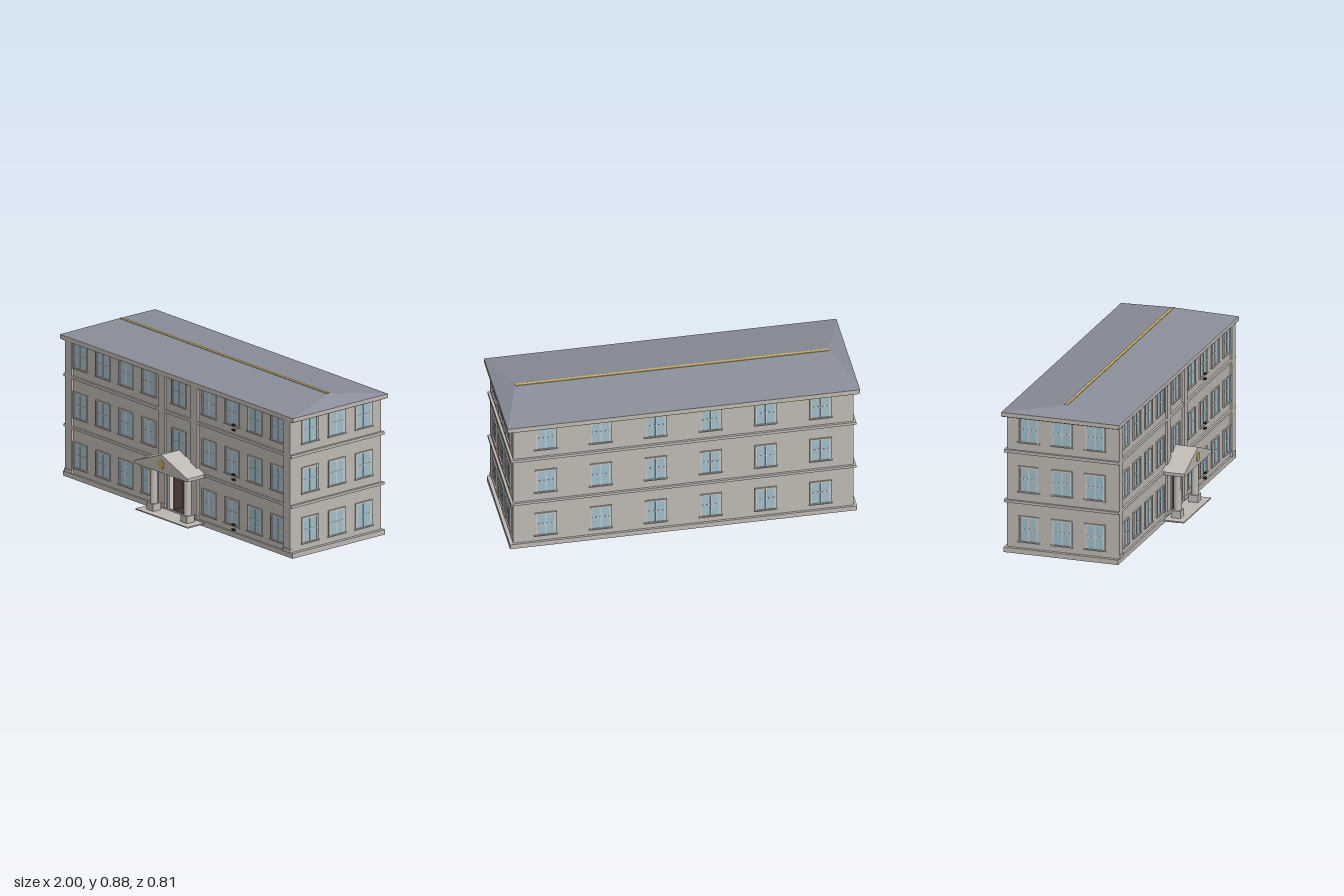
import * as THREE from 'three';

const mat = (name, color) => {
  const m = new THREE.MeshStandardMaterial({ color });
  m.name = name;
  return m;
};

export function createModel() {
  const stone = mat('stone', 0xbfbab3);
  const frameMat = mat('windowFrame', 0xd2d3d1);
  const glass = mat('glass', 0xa0c0cd);
  const slate = mat('slate', 0x8a8e9a);
  const gold = mat('gold', 0xc9ae5c);
  const floorMat = mat('darkFloor', 0x45392f);
  const iron = mat('darkMetal', 0x2b2826);

  const model = new THREE.Group();
  model.name = 'building';
  const add = (name, geo, material, parent = model) => {
    const mesh = new THREE.Mesh(geo, material);
    mesh.name = name;
    parent.add(mesh);
    return mesh;
  };
  // Box given by its minimum and maximum on each axis
  const box = (name, m, x0, x1, y0, y1, z0, z1, parent = model) => {
    const b = add(name, new THREE.BoxGeometry(x1 - x0, y1 - y0, z1 - z0), m, parent);
    b.position.set((x0 + x1) / 2, (y0 + y1) / 2, (z0 + z1) / 2);
    return b;
  };

  // Ground slab and hollow walls, the front one with a door opening
  const FRONT = 0.27, BACK = -0.384, SIDE = 0.965;
  box('foundation', floorMat, -0.95, 0.95, 0, 0.028, -0.365, 0.25);
  const wall = new THREE.Shape([
    [-SIDE, 0.01], [-0.075, 0.01], [-0.075, 0.24], [0.075, 0.24],
    [0.075, 0.01], [SIDE, 0.01], [SIDE, 0.815], [-SIDE, 0.815],
  ].map(([x, y]) => new THREE.Vector2(x, y)));
  add('frontWall', new THREE.ExtrudeGeometry(wall, { depth: 0.02, bevelEnabled: false }), stone)
    .position.z = FRONT - 0.02;
  box('backWall', stone, -SIDE, SIDE, 0.01, 0.815, BACK, BACK + 0.02);
  for (const s of [-1, 1]) {
    const w = box('sideWall', stone, -0.01, 0.01, 0.01, 0.815, BACK + 0.02, FRONT - 0.02);
    w.position.x = s * (SIDE - 0.01);
  }
  box('hallCeiling', stone, -0.95, 0.95, 0.3, 0.31, BACK + 0.02, 0.25);

  // Plinth and string courses around the walls
  const course = (name, y0, y1, out, front) => {
    box(name, stone, -out, out, y0, y1, -0.397, BACK);
    for (const s of [-1, 1]) {
      const b = box(name, stone, 0, out - SIDE, y0, y1, BACK, front);
      b.position.x = s * (out + SIDE) / 2;
    }
    box(name, stone, -out, out, y0, y1, FRONT, front);
  };
  course('plinth', 0.008, 0.037, 0.985, 0.28);
  course('stringCourse', 0.3, 0.315, 0.98, 0.282);
  course('stringCourse', 0.593, 0.61, 0.98, 0.282);

  // Corner and centre pilasters with small bases
  for (const x of [-0.938, -0.14, 0.14, 0.938]) {
    box('pilaster', stone, x - 0.028, x + 0.028, 0.037, 0.81, FRONT, 0.283);
    box('pilasterBase', stone, x - 0.031, x + 0.031, 0.037, 0.058, FRONT, 0.286);
  }

  // Window, facing +z with its sill line at y = 0
  const addWindow = (x, y, z, turn) => {
    const g = new THREE.Group();
    g.name = 'window';
    const H = 0.15;
    box('glass', glass, -0.055, 0.055, 0, H - 0.005, 0, 0.002, g);
    for (const s of [-1, 1]) {
      const j = box('jamb', stone, -0.004, 0.004, 0, H, 0, 0.007, g);
      j.position.x = s * 0.058;
      const f = box('frameSide', frameMat, -0.0025, 0.0025, 0, H - 0.008, 0, 0.005, g);
      f.position.x = s * 0.0515;
    }
    box('head', stone, -0.062, 0.062, H - 0.008, H, 0, 0.0075, g);
    box('frameTop', frameMat, -0.054, 0.054, H - 0.012, H - 0.008, 0, 0.0045, g);
    box('mullion', frameMat, -0.003, 0.003, 0, H - 0.008, 0, 0.004, g);
    box('transom', frameMat, -0.054, 0.054, 0.071, 0.076, 0, 0.0038, g);
    box('sill', stone, -0.066, 0.066, -0.006, 0.001, 0, 0.01, g);
    g.position.set(x, y, z);
    g.rotation.y = turn;
    model.add(g);
  };
  [0.077, 0.37, 0.661].forEach((y, floor) => {
    for (const s of [-1, 1]) {
      for (const x of [0.26, 0.457, 0.652, 0.85]) addWindow(s * x, y, FRONT, 0);
      for (const x of [0.156, 0.468, 0.78]) addWindow(s * x, y, BACK, Math.PI);
      for (const z of [0.137, -0.058, -0.255]) addWindow(s * SIDE, y, z, s * Math.PI / 2);
    }
    if (floor > 0) addWindow(0, y, FRONT, 0);
    // Small dark wall brackets
    for (const dy of [0.004, -0.026]) {
      box('wallBracket', iron, 0.463, 0.485, y + dy - 0.004, y + dy + 0.004, FRONT, 0.284);
    }
  });

  // Cornice, gold trim and hipped roof
  box('corniceTrim', gold, -0.99, 0.99, 0.805, 0.811, -0.404, 0.286);
  box('cornice', stone, -1, 1, 0.81, 0.834, -0.405, 0.29);
  const a = [-1, 0.834, 0.287], b = [1, 0.834, 0.287], c = [1, 0.834, -0.405], d = [-1, 0.834, -0.405];
  const l = [-0.89, 0.883, -0.06], r = [0.89, 0.883, -0.06];
  const roof = new THREE.BufferGeometry();
  roof.setAttribute('position', new THREE.Float32BufferAttribute(
    [a, b, r, a, r, l, c, d, l, c, l, r, b, c, r, d, a, l].flat(), 3));
  roof.computeVertexNormals();
  add('hippedRoof', roof, slate);
  box('ridgeStrip', gold, -0.89, 0.89, 0.879, 0.885, -0.069, -0.051);

  // Portico: steps, columns and pediment
  box('lowerStep', stone, -0.19, 0.19, 0.008, 0.015, FRONT, 0.365);
  box('middleStep', stone, -0.2, 0.2, 0.015, 0.022, FRONT, 0.34);
  box('porchFloor', stone, -0.225, 0.225, 0.022, 0.029, FRONT, 0.4);
  for (const x of [-0.145, 0.145]) {
    box('columnBase', stone, x - 0.028, x + 0.028, 0.029, 0.07, 0.305, 0.361);
    add('columnShaft', new THREE.CylinderGeometry(0.021, 0.022, 0.21, 20), stone)
      .position.set(x, 0.175, 0.333);
    box('columnCapital', gold, x - 0.028, x + 0.028, 0.28, 0.294, 0.306, 0.36);
  }
  const gable = new THREE.Shape([
    [-0.226, 0.294], [0.226, 0.294], [0.226, 0.312], [0, 0.4], [-0.226, 0.312],
  ].map(([x, y]) => new THREE.Vector2(x, y)));
  add('pediment', new THREE.ExtrudeGeometry(gable, { depth: 0.133, bevelEnabled: false }), stone)
    .position.z = FRONT;
  const medallion = add('medallion', new THREE.CylinderGeometry(0.027, 0.027, 0.004, 28), gold);
  medallion.rotation.x = Math.PI / 2;
  medallion.position.set(0, 0.342, 0.404);

  // Entrance: pale surround, open door leaves, hall desk, rails and hanging lamp
  for (const s of [-1, 1]) {
    const f = box('doorJamb', frameMat, -0.008, 0.008, 0.029, 0.255, FRONT - 0.02, 0.28);
    f.position.x = s * 0.081;
    const leaf = box('doorLeaf', floorMat, -0.003, 0.003, 0.029, 0.235, 0.185, 0.25);
    leaf.position.x = s * 0.07;
    const rail = box('hallRail', gold, -0.003, 0.003, 0.07, 0.076, 0.08, 0.18);
    rail.position.x = s * 0.05;
  }
  box('doorHead', frameMat, -0.089, 0.089, 0.24, 0.255, FRONT - 0.02, 0.281);
  box('hallDesk', stone, -0.015, 0.015, 0.028, 0.09, 0.05, 0.08);
  box('lampBar', gold, -0.038, 0.038, 0.21, 0.215, 0.1, 0.106);
  box('lampRod', iron, -0.002, 0.002, 0.215, 0.3, 0.101, 0.105);
  return model;
}
